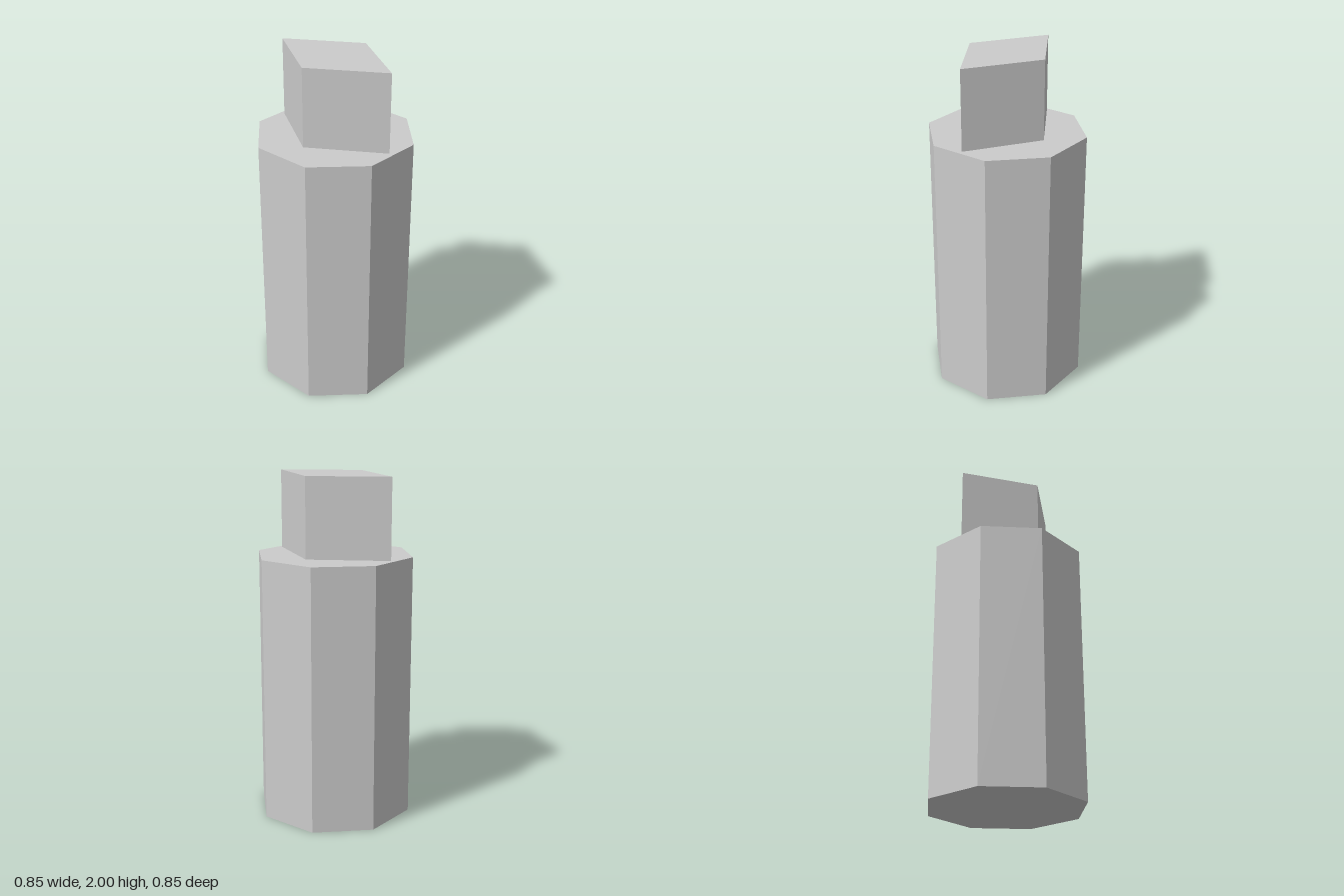
import * as THREE from 'three';

const material = new THREE.MeshStandardMaterial({ color: 0xcccccc, flatShading: true });

// Upright prism with a regular base of the given circumradius
function prism(name, radius, sides, bottom, top) {
  const geometry = new THREE.CylinderGeometry(radius, radius, top - bottom, sides);
  const mesh = new THREE.Mesh(geometry, material);
  mesh.name = name;
  mesh.position.y = (bottom + top) / 2;
  return mesh;
}

export function createModel() {
  const model = new THREE.Group();
  model.name = 'bottle';

  // Octagonal body with flat sides facing the axes
  const body = prism('body', 0.426 / Math.cos(Math.PI / 8), 8, 0, 1.54);
  body.rotation.y = Math.PI / 8;

  // Diamond-shaped cap, wider across x than z
  const cap = prism('cap', 1, 4, 1.54, 2);
  cap.geometry.scale(0.4, 1, 0.257);
  cap.geometry.computeVertexNormals();

  model.add(body, cap);
  return model;
}
